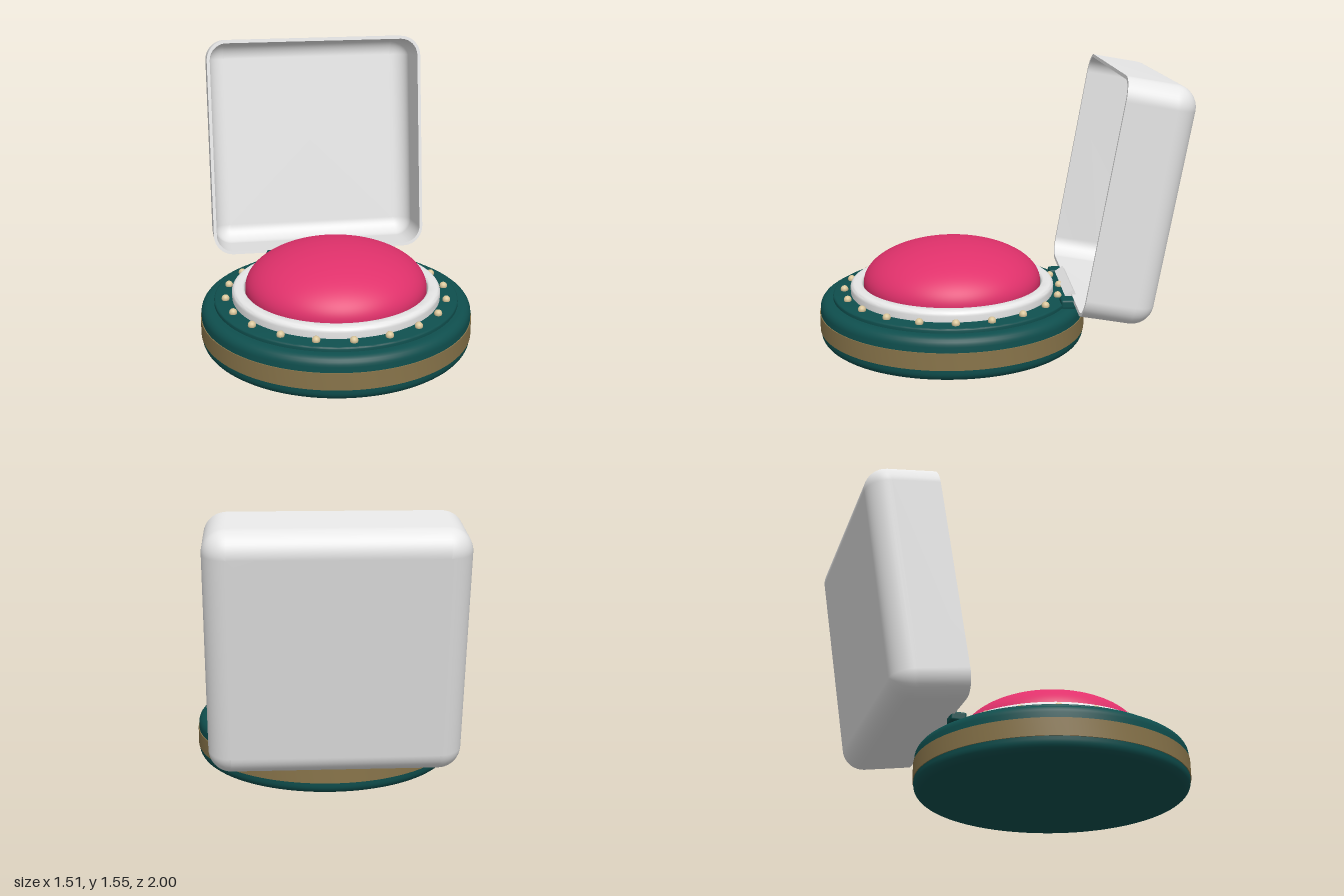
import * as THREE from 'three';
import { mergeGeometries, toCreasedNormals } from 'three/addons/utils/BufferGeometryUtils.js';
import { RoundedBoxGeometry } from 'three/addons/geometries/RoundedBoxGeometry.js';

const CENTRE_Z = 0.243;

function material(name, color) {
  const m = new THREE.MeshStandardMaterial({ color });
  m.name = name;
  return m;
}

function mesh(name, geometry, mat, x = 0, y = 0, z = 0) {
  const m = new THREE.Mesh(geometry, mat);
  m.name = name;
  m.position.set(x, y, z);
  return m;
}

// Points on a circular arc, angles in degrees
function arc(cx, cy, r, from, to, n = 6) {
  return Array.from({ length: n + 1 }, (_, i) => {
    const a = THREE.MathUtils.degToRad(from + (to - from) * i / n);
    return [cx + r * Math.cos(a), cy + r * Math.sin(a)];
  });
}

function lathe(points) {
  const g = new THREE.LatheGeometry(points.map(p => new THREE.Vector2(...p)), 96);
  return toCreasedNormals(g, 0.6);
}

// Rounded square outline, anticlockwise seen from +z
function roundedSquare({ half, radius, z }) {
  const c = half - radius;
  return [[1, 1, 0], [-1, 1, 90], [-1, -1, 180], [1, -1, 270]]
    .flatMap(([sx, sy, a]) => arc(sx * c, sy * c, radius, a, a + 90, 10))
    .map(([x, y]) => [x, y, z]);
}

// Skin over a series of outlines with smooth normals
function loft(sections) {
  const loops = sections.map(roundedSquare);
  const n = loops[0].length;
  const index = [];
  for (let s = 0; s < loops.length - 1; s++) {
    for (let i = 0; i < n; i++) {
      const a = s * n + i, a1 = s * n + (i + 1) % n;
      index.push(a, a + n, a1, a1, a + n, a1 + n);
    }
  }
  const g = new THREE.BufferGeometry();
  g.setAttribute('position', new THREE.Float32BufferAttribute(loops.flat(2), 3));
  g.setIndex(index);
  g.computeVertexNormals();
  return g;
}

// Sections of a rounded shell, from open front to closed back
function shell(half, radius, depth) {
  const out = [{ half, radius, z: 0 }];
  for (let i = 0; i <= 10; i++) {
    const a = i / 10 * Math.PI / 2;
    const inset = radius * (1 - Math.cos(a));
    out.push({ half: half - inset, radius: radius - inset, z: -(depth - radius) - radius * Math.sin(a) });
  }
  out.push({ half: 0, radius: 0, z: -depth });
  return out;
}

export function createModel() {
  const model = new THREE.Group();
  model.name = 'cushionBox';
  const teal = material('deep teal', 0x0f4f4e);
  const gold = material('dull gold', 0x88744a);
  const white = material('soft white', 0xe6e6e6);
  const pink = material('raspberry pink', 0xe0316b);
  const pearl = material('pearl cream', 0xd9c59a);

  // Round base with a raised step on top
  model.add(mesh('base', lathe([
    [0, 0], ...arc(0.702, 0.05, 0.05, -90, 0), ...arc(0.702, 0.192, 0.05, 0, 90),
    [0.68, 0.242], ...arc(0.67, 0.256, 0.01, 0, 90, 3), [0, 0.266],
  ]), teal, 0, 0, CENTRE_Z));

  // Band around the base
  model.add(mesh('band', lathe([
    [0.74, 0.067], [0.757, 0.067], [0.757, 0.162], [0.74, 0.162],
  ]), gold, 0, 0, CENTRE_Z));

  // Collar and domed cushion
  model.add(mesh('collar', lathe([
    [0.58, 0.262], ...arc(0.553, 0.298, 0.028, 0, 90), ...arc(0.525, 0.311, 0.015, 90, 180, 4), [0.51, 0.262],
  ]), white, 0, 0, CENTRE_Z));
  const dome = new THREE.SphereGeometry(0.505, 96, 32, 0, Math.PI * 2, 0, Math.PI / 2);
  dome.scale(1, 0.23 / 0.505, 1);
  model.add(mesh('cushion', dome, pink, 0, 0.32, CENTRE_Z));
  model.add(mesh('cushionSkirt', new THREE.CylinderGeometry(0.505, 0.505, 0.06, 96, 1, true), pink, 0, 0.29, CENTRE_Z));

  // Ring of pearls
  const pearls = new THREE.Group();
  pearls.name = 'pearls';
  const bead = new THREE.SphereGeometry(0.022, 16, 12);
  for (let i = 0; i < 20; i++) {
    const a = i / 20 * Math.PI * 2;
    pearls.add(mesh('pearl', bead, pearl, 0.617 * Math.cos(a), 0.274, CENTRE_Z + 0.617 * Math.sin(a)));
  }
  model.add(pearls);

  // Hinge: two lugs on the base and a leaf on the lid
  for (const side of [-1, 1]) {
    model.add(mesh('hingeLug', new RoundedBoxGeometry(0.09, 0.05, 0.085, 3, 0.012), teal, side * 0.285, 0.262, -0.39));
  }
  const leaf = mesh('hingeLeaf', new THREE.BoxGeometry(0.46, 0.03, 0.055), white, 0, 0.288, -0.41);
  leaf.rotation.x = 0.6;
  model.add(leaf);

  // Hollow lid, leaning back on the hinge
  const wall = 0.018, half = 0.648, depth = 0.384;
  const outer = shell(half, 0.12, depth);
  const inner = shell(half - wall, 0.12 - wall, depth - wall).reverse();
  const lidGeometry = mergeGeometries([
    loft(inner), loft([inner[inner.length - 1], outer[0]]), loft(outer),
  ]);
  lidGeometry.translate(0, half, 0);
  const lid = mesh('lid', lidGeometry, white, 0, 0.272, -0.415);
  lid.rotation.x = -THREE.MathUtils.degToRad(9.8);
  model.add(lid);

  return model;
}
